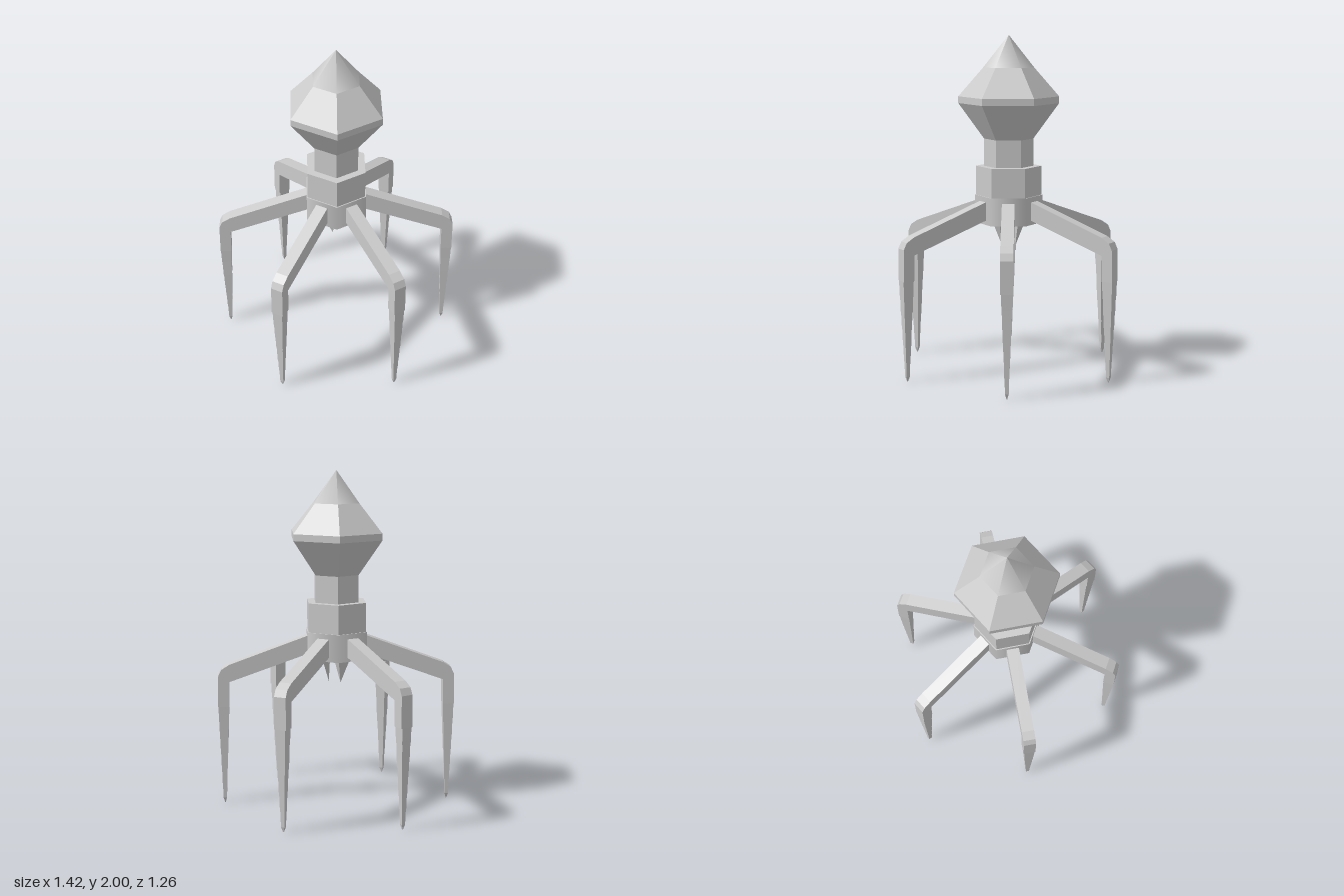
import * as THREE from 'three';

const flat = new THREE.MeshStandardMaterial({ color: 0xcccccc, flatShading: true });
const smooth = new THREE.MeshStandardMaterial({ color: 0xcccccc });

function part(name, geometry, material = flat) {
  const mesh = new THREE.Mesh(geometry, material);
  mesh.name = name;
  return mesh;
}

// Six-sided section between two heights, corners on the z axis
function hex(name, rTop, yTop, rBottom, yBottom, material = flat, open = false) {
  const g = new THREE.CylinderGeometry(rTop, rBottom, yTop - yBottom, 6, 1, open);
  g.translate(0, (yTop + yBottom) / 2, 0);
  return part(name, g, material);
}

// Square tapered section of a leg
function square(name, hTop, yTop, hBottom, yBottom, x) {
  const g = new THREE.CylinderGeometry(hTop * Math.SQRT2, hBottom * Math.SQRT2, yTop - yBottom, 4);
  g.rotateY(Math.PI / 4);
  g.translate(x, (yTop + yBottom) / 2, 0);
  return part(name, g);
}

function createLeg() {
  const leg = new THREE.Group();
  leg.name = 'leg';

  // Sloping arm, bevelled knee and upper shin
  const outline = [
    [0.12, 1.045], [0.64, 0.855], [0.687, 0.825], [0.706, 0.785],
    [0.708, 0.6], [0.642, 0.6], [0.64, 0.75], [0.12, 0.935],
  ].map(([x, y]) => new THREE.Vector2(x, y));
  const arm = new THREE.ExtrudeGeometry(new THREE.Shape(outline), { depth: 0.074, bevelEnabled: false });
  arm.translate(0, 0, -0.037);
  leg.add(part('legArm', arm));

  // Stepped shin, each section a little thinner than the last
  const heights = [0.6, 0.505, 0.4, 0.31, 0.215, 0.12, 0.03];
  for (let i = 0; i < 6; i++) {
    const half = 0.032 - i * 0.0038;
    leg.add(square('shinSection', half, heights[i], half - 0.0025, heights[i + 1], 0.675));
  }
  leg.add(square('legTip', 0.0105, 0.03, 0.002, 0, 0.675));
  return leg;
}

// Pyramid with its point below the inner edge of the base
function createSpike() {
  const base = [[0.04, -0.045], [0.09, -0.045], [0.09, 0.045], [0.04, 0.045]];
  const tip = [0.045, 0.74, 0];
  const positions = [];
  base.forEach(([x, z], i) => {
    const [x2, z2] = base[(i + 1) % 4];
    positions.push(x, 0.9, z, x2, 0.9, z2, ...tip);
  });
  const g = new THREE.BufferGeometry();
  g.setAttribute('position', new THREE.Float32BufferAttribute(positions, 3));
  g.computeVertexNormals();
  const material = flat.clone();
  material.side = THREE.DoubleSide;
  return part('spike', g, material);
}

export function createModel() {
  const model = new THREE.Group();
  model.name = 'phage';

  // Faceted head with a smooth point
  model.add(
    hex('headTip', 0, 2, 0.15, 1.81, smooth, true),
    hex('headTop', 0.15, 1.81, 0.298, 1.64, flat, true),
    hex('headRim', 0.298, 1.64, 0.298, 1.6, flat, true),
    hex('headBottom', 0.298, 1.6, 0.146, 1.39, flat, true),
  );

  // Neck, collar and base plate
  model.add(
    hex('neck', 0.146, 1.39, 0.146, 1.22),
    hex('collar', 0.195, 1.228, 0.195, 1.05),
    hex('basePlate', 0.202, 1.055, 0.202, 0.89, smooth),
  );

  // Six legs, one from each face of the base plate
  for (let i = 0; i < 6; i++) {
    const leg = createLeg();
    leg.rotation.y = (i * Math.PI) / 3;
    model.add(leg);
  }

  // Three spikes under the base plate
  for (let i = 0; i < 3; i++) {
    const spike = createSpike();
    spike.rotation.y = (i * Math.PI * 2) / 3;
    model.add(spike);
  }
  return model;
}
